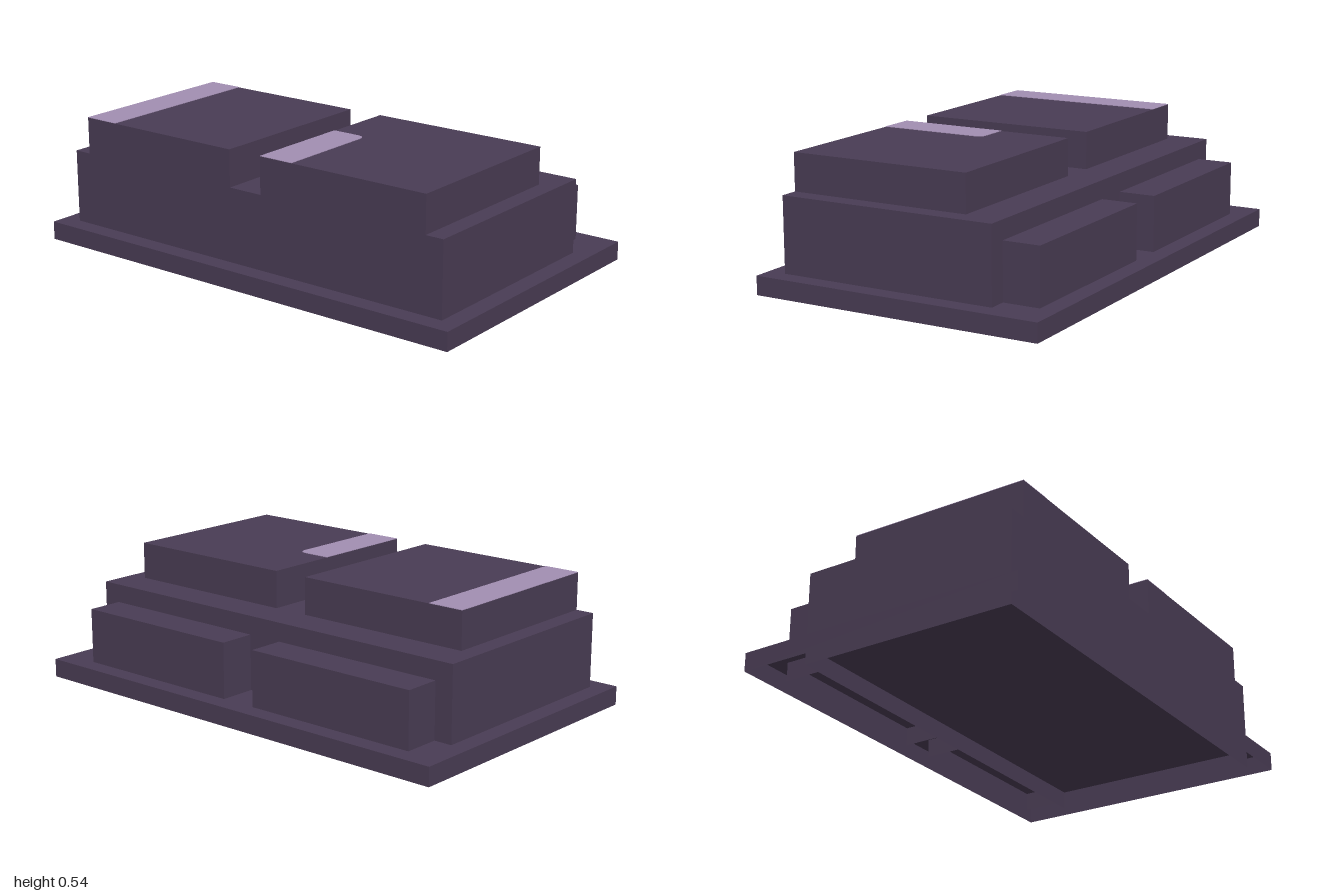
import * as THREE from 'three';

const U = 1 / 13; // layout module: the base is 26 x 16 modules

// Box given by its limits in modules, left open at the bottom
function openBox(name, [x0, x1], [y0, y1], [z0, z1], material) {
  const w = (x1 - x0) * U, h = (y1 - y0) * U, d = (z1 - z0) * U;
  const geometry = new THREE.BoxGeometry(w, h, d);
  const index = Array.from(geometry.index.array);
  index.splice(18, 6); // drop the underside
  geometry.setIndex(index);
  geometry.clearGroups();
  const mesh = new THREE.Mesh(geometry, material);
  mesh.name = name;
  mesh.position.set((x0 + x1) / 2 * U, (y0 + y1) / 2 * U, (z0 + z1) / 2 * U);
  return mesh;
}

// Thin strip on a block top, its back +x corner optionally rounded
function topStrip(name, [x0, x1], [z0, z1], radius, material) {
  const shape = new THREE.Shape();
  shape.moveTo(x0 * U, -z1 * U);
  shape.lineTo(x1 * U, -z1 * U);
  shape.lineTo(x1 * U, -(z0 + radius) * U);
  if (radius > 0) shape.quadraticCurveTo(x1 * U, -z0 * U, (x1 - radius) * U, -z0 * U);
  shape.lineTo(x0 * U, -z0 * U);
  shape.closePath();
  const geometry = new THREE.ExtrudeGeometry(shape, { depth: 0.002, bevelEnabled: false });
  geometry.rotateX(-Math.PI / 2);
  const mesh = new THREE.Mesh(geometry, material);
  mesh.name = name;
  mesh.position.y = 7 * U;
  return mesh;
}

export function createModel() {
  const model = new THREE.Group();
  model.name = 'steppedBlock';

  const dark = new THREE.MeshStandardMaterial({ color: 0x493c54, side: THREE.DoubleSide });
  dark.name = 'darkPurple';
  const light = new THREE.MeshStandardMaterial({ color: 0xa28eb2 });
  light.name = 'lightPurple';

  // Hollow base plate and main body, both standing on the ground
  model.add(openBox('basePlate', [-13, 13], [0, 1], [-8, 8], dark));
  model.add(openBox('body', [-12, 12], [0, 5], [-5, 7], dark));

  // Mirrored pairs: raised tops and the lower blocks behind
  for (const [side, x] of [['right', [-11, -1]], ['left', [1, 11]]]) {
    model.add(openBox(side + 'TopBlock', x, [5, 7], [-3, 7], dark));
    model.add(openBox(side + 'BackBlock', x, [0, 4], [-7, -5], dark));
  }

  // Pale strips on the raised tops
  model.add(topStrip('rightLongStrip', [-11, -9], [-3, 7], 0, light));
  model.add(topStrip('leftShortStrip', [1, 3], [1, 7], 0.5, light));

  return model;
}
